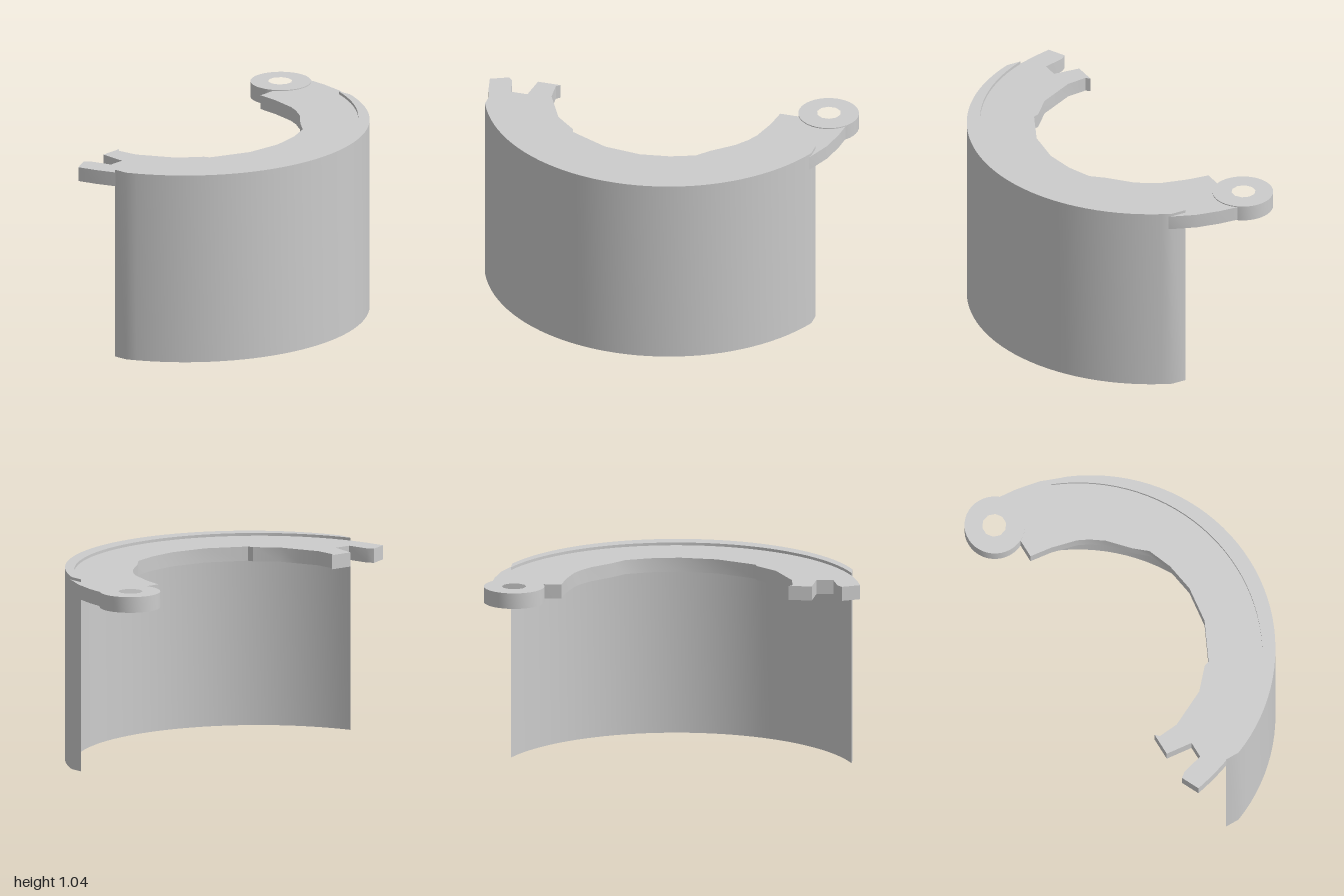
import * as THREE from 'three';
import { toCreasedNormals } from 'three/addons/utils/BufferGeometryUtils.js';

const material = new THREE.MeshStandardMaterial({ color: 0xcccccc });

// Extrude a plan outline of [x, z] points upward from y0 to y1.
function slab(name, points, y0, y1, hole) {
  const toVectors = (list) => list.map(([x, z]) => new THREE.Vector2(x, -z));
  const shape = new THREE.Shape(toVectors(points));
  if (hole) shape.holes.push(new THREE.Path(toVectors(hole)));
  const geometry = new THREE.ExtrudeGeometry(shape, { depth: y1 - y0, bevelEnabled: false });
  geometry.rotateX(-Math.PI / 2).translate(0, y0, 0);
  const mesh = new THREE.Mesh(toCreasedNormals(geometry, 0.5), material);
  mesh.name = name;
  return mesh;
}

// Front arc of the wall, left to right in plan, moved back by shift.
function wallArc(shift, count = 40) {
  const radius = 0.984, half = Math.asin(0.91 / radius);
  return Array.from({ length: count + 1 }, (_, i) => {
    const a = -half + (2 * half * i) / count;
    return [-0.03 + radius * Math.sin(a), -0.374 + radius * Math.cos(a) - shift];
  });
}

function circle(x, z, radius, count) {
  return Array.from({ length: count }, (_, i) => {
    const a = (2 * Math.PI * i) / count;
    return [x + radius * Math.cos(a), z + radius * Math.sin(a)];
  });
}

export function createModel() {
  const group = new THREE.Group();
  group.name = 'halfCollar';

  // Tall crescent wall: the same arc twice, offset in depth
  group.add(slab('curvedWall', [...wallArc(0), ...wallArc(0.08).reverse()], 0, 1.045));

  // Thin flange whose outer edge is buried in the wall
  const outerEdge = [
    [-1, -0.285], [-0.975, -0.18], [-0.94, -0.075],
    ...wallArc(0.04).slice(2, -2),
    [0.88, 0.01], [0.93, -0.12], [0.955, -0.25], [0.965, -0.37],
  ];
  const innerEdge = [
    [0.69, -0.38], [0.59, -0.38], [0.575, -0.26], [0.54, -0.12], [0.51, -0.06], [0.46, 0.01],
    [0.35, 0.11], [0.29, 0.18], [0.16, 0.23], [0, 0.255], [-0.2, 0.23], [-0.41, 0.13],
    [-0.42, 0.1], [-0.53, 0], [-0.58, -0.1], [-0.63, -0.2], [-0.64, -0.31], [-0.62, -0.33],
  ];
  // Notched clasp at the right-hand end
  const notch = [
    [-0.745, -0.33], [-0.76, -0.185], [-0.85, -0.185], [-0.88, -0.3], [-0.905, -0.33],
  ];
  group.add(slab('flange', [...outerEdge, ...innerEdge, ...notch], 0.953, 1.03));

  // Hinge eyelet at the left-hand end
  group.add(slab('hingeEyelet', circle(0.838, -0.453, 0.162, 40), 0.95, 1.035,
    circle(0.838, -0.457, 0.065, 10)));

  return group;
}
